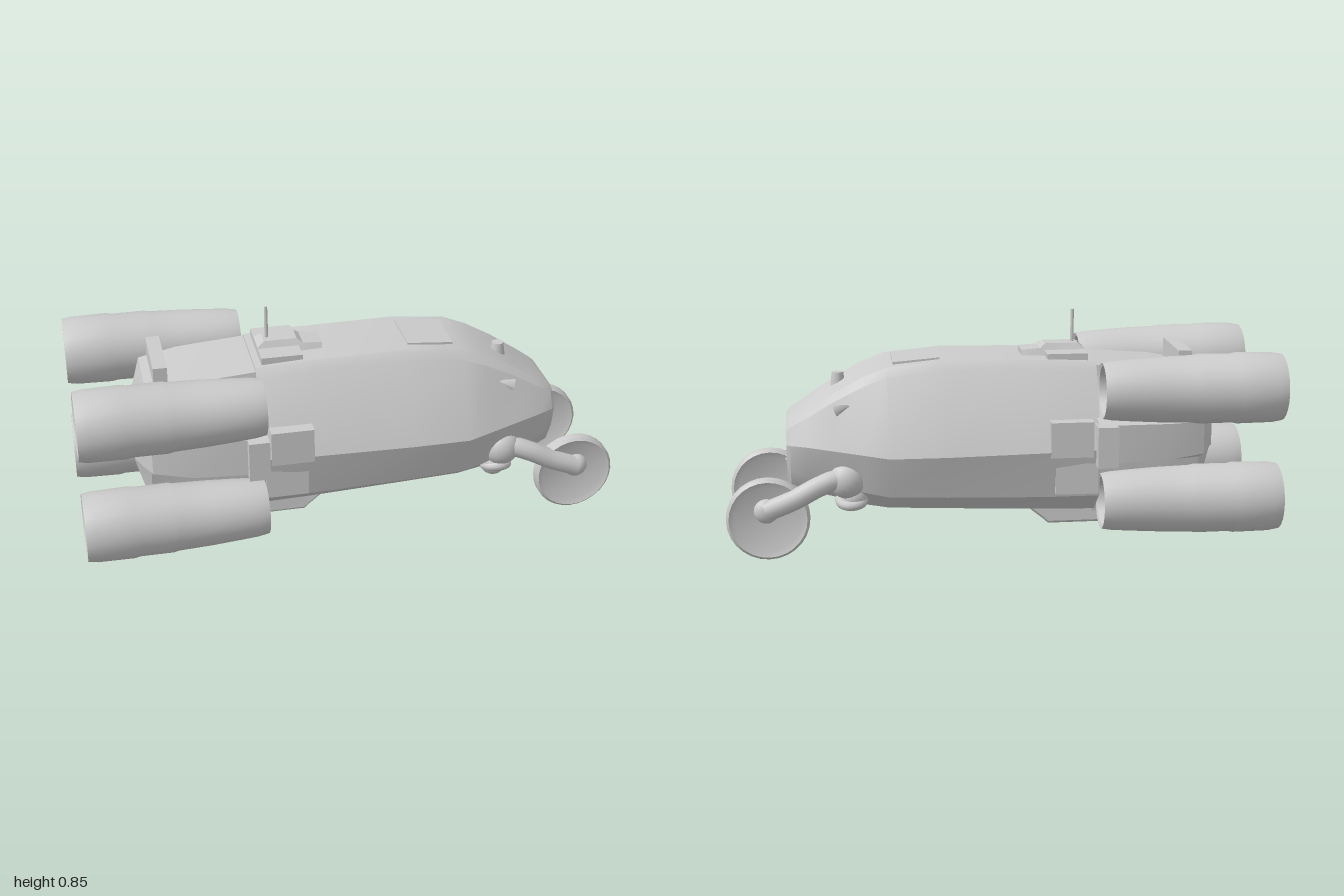
import * as THREE from 'three';
import { toCreasedNormals } from 'three/addons/utils/BufferGeometryUtils.js';

const grey = new THREE.MeshStandardMaterial({ color: 0xcccccc });
const greyOpen = new THREE.MeshStandardMaterial({ color: 0xcccccc, side: THREE.DoubleSide });

function add(parent, name, geometry, x = 0, y = 0, z = 0, material = grey) {
  const mesh = new THREE.Mesh(geometry, material);
  mesh.name = name;
  mesh.position.set(x, y, z);
  parent.add(mesh);
  return mesh;
}

// Skin through mirrored sections along x. Each station: [x, z, y, z, y, ...] from top to bottom.
function loft(stations, crease = 0.4) {
  const n = stations[0].length - 1;
  const pos = [], index = [];
  for (const [x, ...p] of stations) {
    for (let j = 0; j < n; j += 2) pos.push(x, p[j + 1], p[j]);
    for (let j = n - 2; j >= 0; j -= 2) pos.push(x, p[j + 1], -p[j]);
  }
  const last = (stations.length - 1) * n;
  for (let i = 0; i < stations.length - 1; i++) {
    for (let j = 0; j < n; j++) {
      const k = (j + 1) % n, a = i * n + j, b = i * n + k;
      index.push(a, b, a + n, b, b + n, a + n);
    }
  }
  // End caps, strip by strip between the mirrored halves
  for (let j = 0; j < n / 2 - 1; j++) {
    const a = j, b = j + 1, c = n - 2 - j, d = n - 1 - j;
    index.push(last + a, last + b, last + c, last + a, last + c, last + d);
    index.push(a, c, b, a, d, c);
  }
  const g = new THREE.BufferGeometry();
  g.setAttribute('position', new THREE.Float32BufferAttribute(pos, 3));
  g.setIndex(index);
  return toCreasedNormals(g, crease);
}

// Hollow nacelle, open at both ends, with a bulkhead inside
function makeEngine(y, z) {
  const engine = new THREE.Group();
  engine.name = 'engine';
  const profile = [
    [0.108, -0.32], [0.12, -0.325], [0.126, -0.29], [0.128, -0.16], [0.124, -0.14], [0.125, -0.02],
    [0.121, 0.0], [0.117, 0.12], [0.111, 0.22], [0.106, 0.29], [0.1, 0.325], [0.088, 0.32],
    [0.08, 0.28], [0.085, 0.15], [0.1, -0.1], [0.108, -0.32],
  ].map(([r, t]) => new THREE.Vector2(r, t));
  const shell = new THREE.LatheGeometry(profile, 24).rotateZ(-Math.PI / 2);
  add(engine, 'engineShell', toCreasedNormals(shell, 0.6), 0, 0, 0, greyOpen);
  const disc = new THREE.CylinderGeometry(0.09, 0.09, 0.02, 24).rotateZ(Math.PI / 2);
  add(engine, 'engineBulkhead', disc, 0.1);
  engine.position.set(-0.673, y, z);
  engine.rotation.y = Math.sign(z) * 0.012;
  return engine;
}

// Front landing wheel on a bent arm; s is the side
function makeLeg(s) {
  const leg = new THREE.Group();
  leg.name = 'wheelLeg';
  const wheelProfile = [
    [0, -0.016], [0.12, -0.016], [0.14, -0.024], [0.15, -0.014],
    [0.15, 0.014], [0.14, 0.024], [0.12, 0.016], [0, 0.016],
  ].map(([r, t]) => new THREE.Vector2(r, t));
  const wheel = new THREE.LatheGeometry(wheelProfile, 28).rotateX(Math.PI / 2);
  add(leg, 'wheel', toCreasedNormals(wheel, 0.6), 0.845, 0.152, s * 0.207);
  const hub = new THREE.SphereGeometry(0.045, 16, 12).scale(1, 1, 0.75);
  add(leg, 'wheelHub', hub, 0.85, 0.185, s * 0.225);
  const path = new THREE.CatmullRomCurve3([
    [0.52, 0.27, 0.19], [0.59, 0.29, 0.21], [0.66, 0.27, 0.225], [0.75, 0.225, 0.23], [0.85, 0.185, 0.23],
  ].map(([x, y, z]) => new THREE.Vector3(x, y, s * z)));
  add(leg, 'arm', new THREE.TubeGeometry(path, 20, 0.037, 12));
  add(leg, 'armJoint', new THREE.SphereGeometry(0.068, 18, 12).scale(1, 1, 0.85), 0.56, 0.285, s * 0.2);
  const ring = new THREE.TorusGeometry(0.042, 0.018, 10, 20).rotateX(Math.PI / 2 - 0.3);
  add(leg, 'jointCollar', ring, 0.545, 0.205, s * 0.185);
  add(leg, 'jointPod', new THREE.SphereGeometry(0.05, 16, 12), 0.535, 0.215, s * 0.18);
  return leg;
}

export function createModel() {
  const ship = new THREE.Group();
  ship.name = 'spaceship';

  // Main hull, tapering to a blunt nose
  add(ship, 'hull', loft([
    [-0.35, 0.14, 0.685, 0.17, 0.655, 0.285, 0.39, 0.25, 0.21, 0.15, 0.13],
    [-0.15, 0.14, 0.695, 0.17, 0.665, 0.29, 0.385, 0.25, 0.21, 0.15, 0.135],
    [0.2, 0.14, 0.7, 0.17, 0.67, 0.292, 0.38, 0.25, 0.22, 0.15, 0.15],
    [0.41, 0.14, 0.68, 0.17, 0.65, 0.29, 0.38, 0.24, 0.225, 0.15, 0.16],
    [0.5, 0.135, 0.645, 0.17, 0.615, 0.265, 0.39, 0.22, 0.24, 0.145, 0.175],
    [0.6, 0.13, 0.59, 0.165, 0.565, 0.235, 0.4, 0.195, 0.26, 0.14, 0.205],
    [0.7, 0.12, 0.525, 0.16, 0.505, 0.205, 0.41, 0.175, 0.29, 0.135, 0.23],
    [0.76, 0.11, 0.485, 0.145, 0.47, 0.175, 0.41, 0.155, 0.31, 0.125, 0.255],
    [0.773, 0.1, 0.473, 0.13, 0.46, 0.16, 0.41, 0.14, 0.32, 0.115, 0.28],
  ]));

  // Rear section with a wide waist between the engines
  add(ship, 'rearBody', loft([
    [-0.79, 0.1, 0.47, 0.11, 0.455, 0.14, 0.44, 0.14, 0.36, 0.11, 0.345, 0.1, 0.33],
    [-0.74, 0.14, 0.63, 0.16, 0.5, 0.23, 0.47, 0.23, 0.35, 0.16, 0.32, 0.13, 0.16],
    [-0.6, 0.15, 0.655, 0.165, 0.51, 0.27, 0.475, 0.27, 0.34, 0.165, 0.31, 0.145, 0.12],
    [-0.34, 0.15, 0.675, 0.17, 0.52, 0.29, 0.48, 0.29, 0.335, 0.17, 0.31, 0.145, 0.12],
  ]));
  add(ship, 'rearCrossbar', new THREE.BoxGeometry(0.05, 0.07, 0.26), -0.685, 0.68, 0);

  // Shallow keel box with a sloping front
  add(ship, 'keel', loft([
    [-0.65, 0.14, 0.2, 0.145, 0.085, 0.138, 0.076],
    [-0.18, 0.14, 0.2, 0.145, 0.085, 0.138, 0.076],
    [-0.165, 0.14, 0.2, 0.145, 0.1, 0.138, 0.09],
    [-0.11, 0.14, 0.2, 0.145, 0.145, 0.138, 0.135],
  ]));

  // Side boxes, vents and wheel legs, mirrored
  for (const s of [1, -1]) {
    add(ship, 'sideBlock', new THREE.BoxGeometry(0.075, 0.15, 0.1), -0.37, 0.405, s * 0.27);
    add(ship, 'sidePanel', new THREE.BoxGeometry(0.155, 0.13, 0.1), -0.245, 0.43, s * 0.24);
    add(ship, 'lowerSidePanel', new THREE.BoxGeometry(0.155, 0.15, 0.08), -0.265, 0.3, s * 0.235);
    const fin = add(ship, 'cheekVent', new THREE.ConeGeometry(0.025, 0.07, 4), 0.565, 0.545, s * 0.18);
    fin.rotation.z = 1.2;
    ship.add(makeLeg(s));
    for (const y of [0.608, 0.2]) ship.add(makeEngine(y, s * 0.29));
  }

  // Roof hatch and antenna
  add(ship, 'hatch', loft([
    [-0.325, 0.045, 0.715, 0.058, 0.69],
    [-0.3, 0.035, 0.735, 0.058, 0.69],
    [-0.18, 0.035, 0.735, 0.058, 0.69],
    [-0.16, 0.045, 0.72, 0.058, 0.69],
    [-0.09, 0.045, 0.715, 0.058, 0.69],
  ]));
  add(ship, 'roofPlate', new THREE.BoxGeometry(0.15, 0.03, 0.25), -0.25, 0.697, 0);
  add(ship, 'roofPanel', new THREE.BoxGeometry(0.17, 0.012, 0.2), 0.3, 0.692, 0).rotation.z = -0.08;
  add(ship, 'antenna', new THREE.CylinderGeometry(0.006, 0.007, 0.14, 8), -0.285, 0.785, 0);

  // Sensor on the slope of the nose
  add(ship, 'sensor', new THREE.CylinderGeometry(0.022, 0.03, 0.06, 10), 0.582, 0.605, 0.025);

  // Vertical ribs under the nose
  for (let i = -2; i <= 2; i++) {
    const rib = add(ship, 'noseRib', new THREE.BoxGeometry(0.012, 0.09, 0.022), 0.762, 0.298, i * 0.045);
    rib.rotation.z = -0.25;
  }
  return ship;
}
